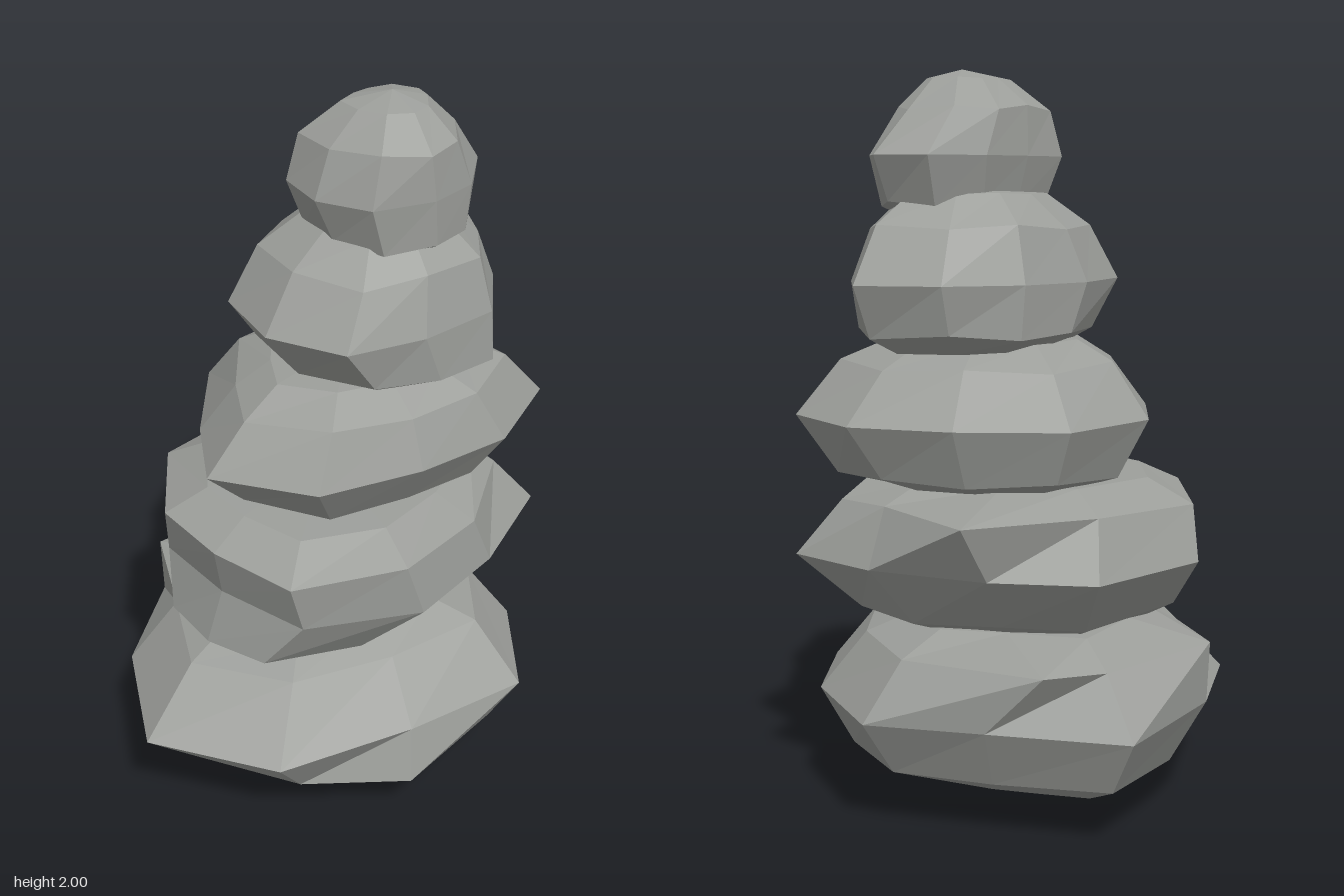
import * as THREE from 'three';

// Fit an outline of [x, z] corners to [y, xMin, xMax, zMin, zMax], slightly wavy in height
function fitRing(outline, [y, x0, x1, z0, z1]) {
  const xs = outline.map((p) => p[0]), zs = outline.map((p) => p[1]);
  const fit = (v, all, lo, hi) => THREE.MathUtils.mapLinear(v, Math.min(...all), Math.max(...all), lo, hi);
  return outline.map(([x, z], i) => new THREE.Vector3(
    fit(x, xs, x0, x1), y + 0.008 * Math.sin(i * 2.3 + y * 9), fit(z, zs, z0, z1)));
}

// Middle of a box, moved to the height of a pole
function pole([, x0, x1, z0, z1], y, shift = 0) {
  return new THREE.Vector3((x0 + x1) / 2 + shift, y, (z0 + z1) / 2);
}

// Shrink a ring towards a pole to round off the stone
function cap(loop, end, scale, rise) {
  return loop.map((p) => new THREE.Vector3(
    THREE.MathUtils.lerp(end.x, p.x, scale),
    THREE.MathUtils.lerp(p.y, end.y, rise),
    THREE.MathUtils.lerp(end.z, p.z, scale),
  ));
}

// Loft from the lower pole through five rings to the upper pole
function stoneGeometry({ outline, waist, bottom, lower, upper, top, foot = 0.72, footShift, crown, chips = [] }) {
  const sides = outline.length;
  const base = pole(lower, bottom, footShift);
  const tip = pole(upper, top);
  const low = fitRing(outline, lower);
  const high = fitRing(outline, upper);
  const middle = outline.map(([x, z]) => new THREE.Vector3(x, waist, z));
  const loops = [cap(low, base, foot, 0.9), low, middle, high, cap(high, tip, crown, 0.75)];
  // Single corners that stick out of the rounded shape
  for (const { loop, corner, x, z } of chips) loops[loop][corner].setX(x).setZ(z);

  const points = [base, ...loops.flat(), tip];
  const last = points.length - 1;
  const index = [];
  for (let j = 0; j < sides; j++) {
    const k = (j + 1) % sides;
    index.push(0, 1 + j, 1 + k);
    for (let r = 0; r < loops.length - 1; r++) {
      const a = 1 + r * sides + j, b = 1 + r * sides + k;
      index.push(a, a + sides, b, b, a + sides, b + sides);
    }
    index.push(last, last - sides + k, last - sides + j);
  }
  const indexed = new THREE.BufferGeometry().setFromPoints(points);
  indexed.setIndex(index);
  const geometry = indexed.toNonIndexed();
  geometry.computeVertexNormals();
  return geometry;
}

export function createModel() {
  const model = new THREE.Group();
  model.name = 'stoneStack';
  const stoneGrey = new THREE.MeshStandardMaterial({ color: 0x9c9e9a, flatShading: true });
  stoneGrey.name = 'stone grey';

  const addStone = (name, shape) => {
    const mesh = new THREE.Mesh(stoneGeometry(shape), stoneGrey);
    mesh.name = name;
    model.add(mesh);
  };

  addStone('baseStone', {
    outline: [[0.65, 0.01], [0.52, 0.35], [0.27, 0.59], [-0.1, 0.5], [-0.48, 0.36],
      [-0.65, 0.01], [-0.43, -0.31], [-0.13, -0.5], [0.28, -0.6], [0.48, -0.27]],
    waist: 0.31, bottom: 0, top: 0.54, foot: 0.47, footShift: -0.16, crown: 0.73,
    lower: [0.15, -0.48, 0.55, -0.51, 0.5],
    upper: [0.47, -0.46, 0.53, -0.48, 0.44],
    chips: [{ loop: 1, corner: 3, x: -0.13, z: 0.53 }, { loop: 3, corner: 9, x: 0.41, z: -0.41 },
      { loop: 3, corner: 7, x: -0.13, z: -0.51 }],
  });
  addStone('secondStone', {
    outline: [[0.58, 0.06], [0.59, 0.355], [0.25, 0.47], [-0.07, 0.5], [-0.35, 0.32],
      [-0.38, 0.04], [-0.34, -0.22], [-0.1, -0.49], [0.29, -0.49], [0.46, -0.26]],
    waist: 0.7, bottom: 0.49, top: 0.93, crown: 0.74,
    lower: [0.545, -0.42, 0.46, -0.35, 0.34],
    upper: [0.85, -0.42, 0.52, -0.43, 0.48],
    chips: [{ loop: 3, corner: 9, x: 0.55, z: -0.26 }, { loop: 3, corner: 1, x: 0.48, z: 0.29 }],
  });
  addStone('middleStone', {
    outline: [[0.63, 0.08], [0.57, 0.37], [0.28, 0.47], [0, 0.42], [-0.28, 0.31],
      [-0.42, 0.04], [-0.26, -0.16], [-0.02, -0.38], [0.3, -0.4], [0.5, -0.18]],
    waist: 1.08, bottom: 0.89, top: 1.3, crown: 0.69,
    lower: [0.93, -0.27, 0.54, -0.34, 0.37],
    upper: [1.22, -0.31, 0.49, -0.28, 0.41],
  });
  addStone('fourthStone', {
    outline: [[0.6, 0.08], [0.46, 0.26], [0.28, 0.4], [0.04, 0.38], [-0.17, 0.3],
      [-0.24, 0.08], [-0.16, -0.14], [0.06, -0.23], [0.28, -0.22], [0.47, -0.11]],
    waist: 1.44, bottom: 1.25, top: 1.7, crown: 0.64,
    lower: [1.305, -0.13, 0.54, -0.22, 0.41],
    upper: [1.585, -0.14, 0.52, -0.19, 0.36],
  });
  addStone('topStone', {
    outline: [[0.51, 0.1], [0.44, 0.2], [0.28, 0.31], [0.13, 0.32], [-0.03, 0.25],
      [-0.08, 0.1], [-0.03, -0.05], [0.12, -0.07], [0.28, -0.08], [0.44, -0.03]],
    waist: 1.77, bottom: 1.61, top: 2, crown: 0.55,
    lower: [1.645, -0.03, 0.45, -0.05, 0.32],
    upper: [1.895, -0.03, 0.39, -0.07, 0.31],
  });
  return model;
}
